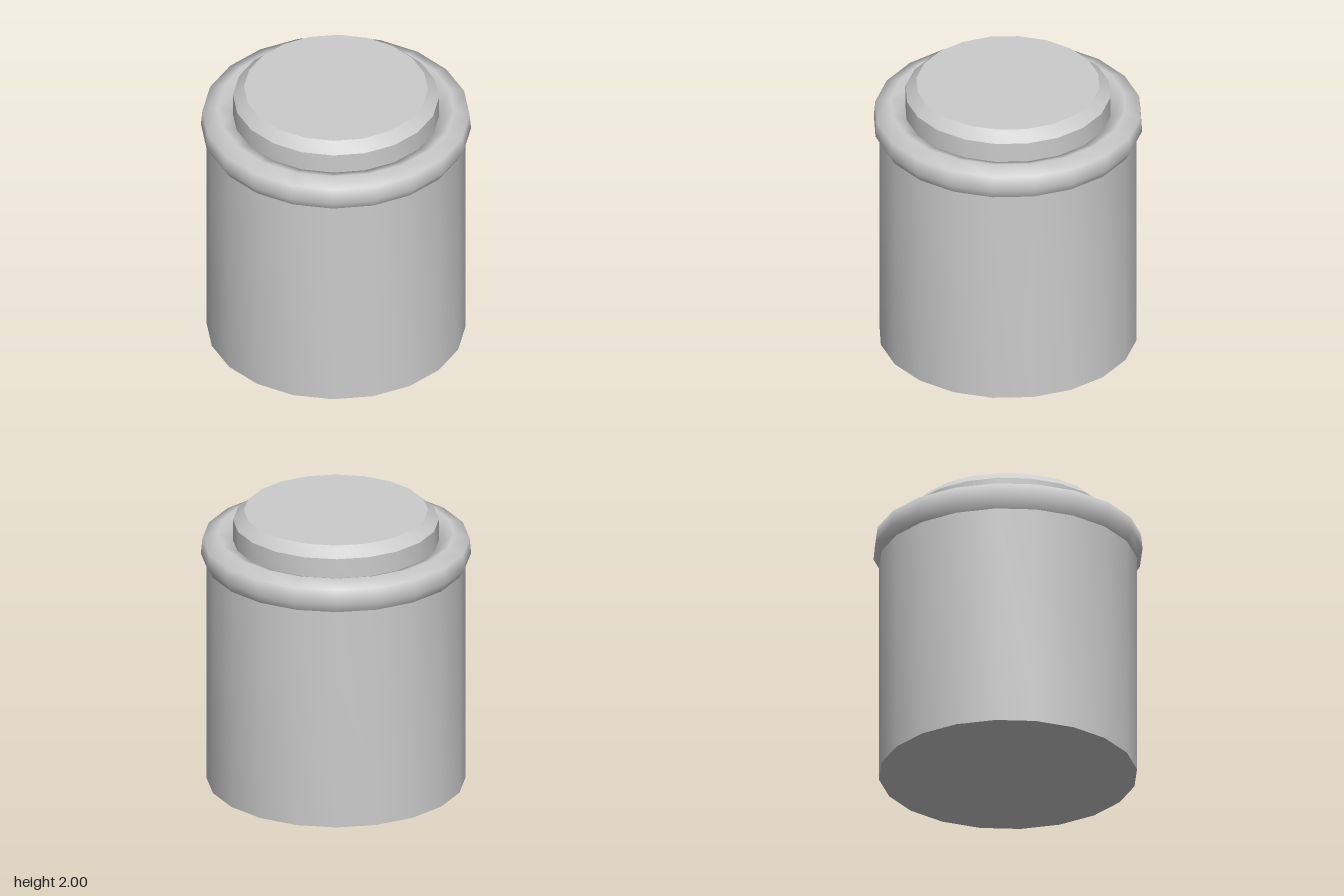
import * as THREE from 'three';
import { toCreasedNormals } from 'three/addons/utils/BufferGeometryUtils.js';

const SIDES = 20;
const material = new THREE.MeshStandardMaterial({ color: 0xcccccc, side: THREE.DoubleSide });

// Revolves a [radius, height] profile, listed from the bottom up the outside.
function turned(name, profile, crease) {
  const points = profile.map(([r, y]) => new THREE.Vector2(r, y));
  let geometry = new THREE.LatheGeometry(points, SIDES);
  if (crease) geometry = toCreasedNormals(geometry, crease);
  const mesh = new THREE.Mesh(geometry, material);
  mesh.name = name;
  return mesh;
}

export function createModel() {
  const group = new THREE.Group();
  group.name = 'canister';

  // Straight wall with a very slightly domed underside
  group.add(turned('body', [[0, 0], [0.14, 0.012], [0.887, 0.016], [0.887, 1.66]], 0.6));

  // Soft rolled rim around the shoulder
  group.add(turned('rim', [
    [0.885, 1.61], [0.925, 1.68], [0.915, 1.79], [0.81, 1.83], [0.71, 1.79], [0.70, 1.70],
  ]));

  // Bevelled lid
  group.add(turned('lid', [[0.705, 1.68], [0.705, 1.93], [0.63, 2], [0, 2]], 0.6));

  return group;
}
